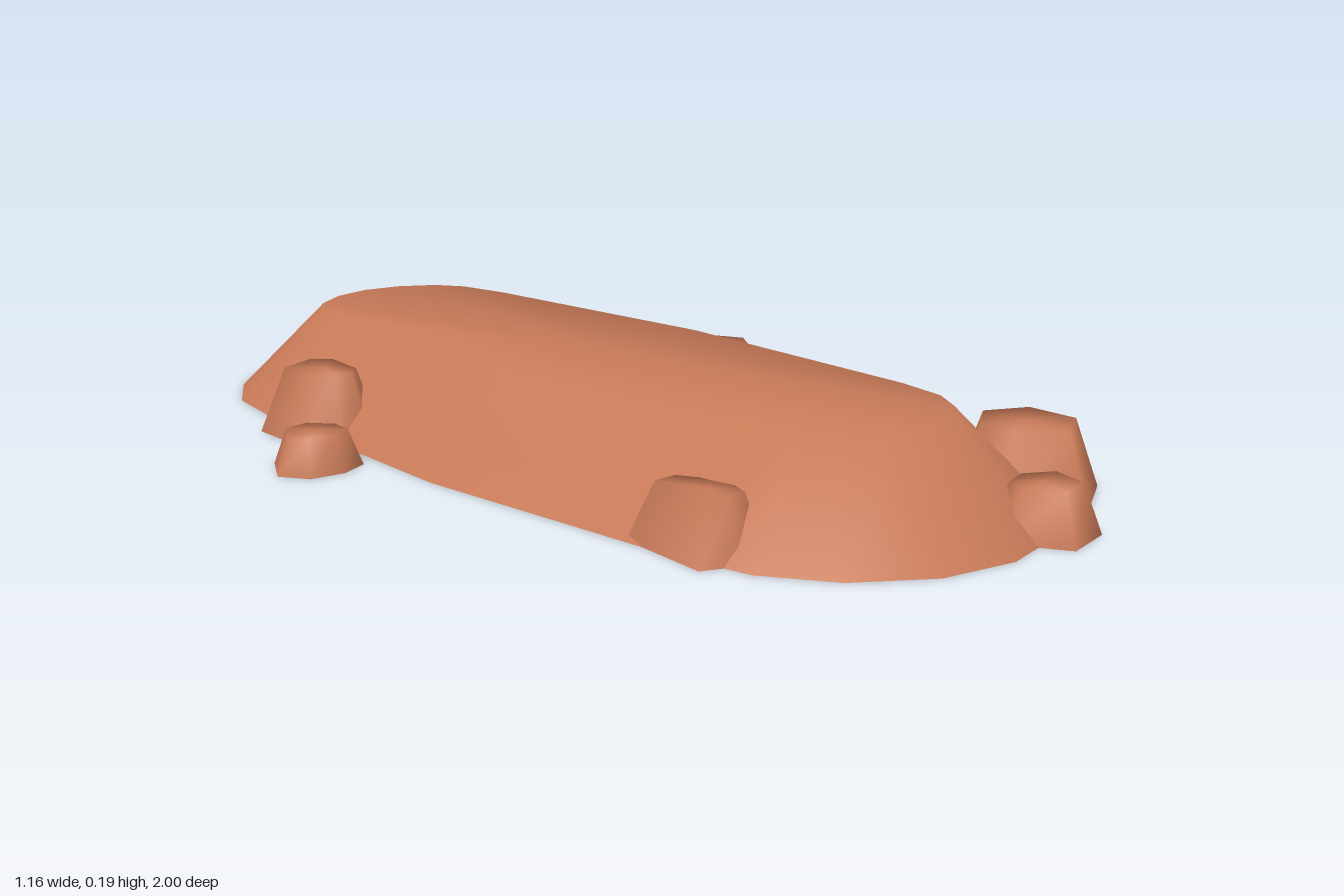
import * as THREE from 'three';

// Moves every corner of a convex outline inwards by d (outline runs clockwise seen from above)
function insetOutline(points, d) {
  const n = points.length;
  const inward = (a, b) => {
    const dx = b[0] - a[0], dz = b[1] - a[1], l = Math.hypot(dx, dz);
    return [-dz / l, dx / l];
  };
  return points.map((p, i) => {
    const u = inward(points[(i + n - 1) % n], p);
    const v = inward(p, points[(i + 1) % n]);
    const k = d / (1 + u[0] * v[0] + u[1] * v[1]);
    return [p[0] + (u[0] + v[0]) * k, p[1] + (u[1] + v[1]) * k];
  });
}

// Flat-topped mound with sloping sides, smooth above and a separate flat underside
function moundGeometry(outline, height, inset) {
  const n = outline.length;
  const top = insetOutline(outline, inset);
  const cx = top.reduce((s, p) => s + p[0], 0) / n;
  const cz = top.reduce((s, p) => s + p[1], 0) / n;
  const positions = [], index = [];
  outline.forEach(([x, z]) => positions.push(x, 0, z));
  top.forEach(([x, z]) => positions.push(x, height, z));
  outline.forEach(([x, z]) => positions.push(x, 0, z));
  positions.push(cx, height, cz);
  for (let i = 0; i < n; i++) {
    const j = (i + 1) % n;
    index.push(j, i, n + i, j, n + i, n + j); // side
    index.push(3 * n, n + j, n + i); // top
    if (i > 0 && i < n - 1) index.push(2 * n, 2 * n + i, 2 * n + j); // underside
  }
  const geometry = new THREE.BufferGeometry();
  geometry.setAttribute('position', new THREE.Float32BufferAttribute(positions, 3));
  geometry.setIndex(index);
  geometry.computeVertexNormals();
  return geometry;
}

export function createModel() {
  const group = new THREE.Group();
  const clay = new THREE.MeshStandardMaterial({ color: 0xc87a58 });
  clay.name = 'terracotta rock';

  const add = (name, outline, height, inset) => {
    const mesh = new THREE.Mesh(moundGeometry(outline, height, inset), clay);
    mesh.name = name;
    group.add(mesh);
  };

  // Long main plateau, mirrored about x = 0.03
  const half = [[0.15, -0.97], [0.28, -0.89], [0.36, -0.77], [0.39, -0.61], [0.43, -0.02],
    [0.39, 0.57], [0.36, 0.72], [0.28, 0.84], [0.15, 0.93]];
  const plateau = [[0, -1], ...half, [0, 0.96], ...half.map(([x, z]) => [-x, z]).reverse()]
    .map(([x, z]) => [x + 0.03, z]);
  add('plateau', plateau, 0.185, 0.18);

  // Boulders scattered around the foot: height and base outline
  const boulders = [
    [0.07, [[-0.585, -0.24], [-0.54, -0.32], [-0.465, -0.33], [-0.415, -0.27], [-0.42, -0.2], [-0.48, -0.175], [-0.55, -0.185]]],
    [0.13, [[-0.435, -0.53], [-0.3, -0.58], [-0.235, -0.51], [-0.25, -0.38], [-0.31, -0.325], [-0.37, -0.34], [-0.44, -0.385]]],
    [0.07, [[0.45, -0.59], [0.53, -0.605], [0.58, -0.54], [0.55, -0.46], [0.47, -0.445], [0.41, -0.53]]],
    [0.07, [[0.365, -0.38], [0.44, -0.43], [0.495, -0.365], [0.465, -0.285], [0.4, -0.285], [0.37, -0.32]]],
    [0.13, [[0.32, -0.18], [0.46, -0.215], [0.53, -0.07], [0.44, 0.055], [0.335, 0.01]]],
    [0.13, [[0.25, 0.66], [0.36, 0.59], [0.49, 0.655], [0.485, 0.81], [0.345, 0.885], [0.24, 0.78]]],
    [0.09, [[0.12, 0.835], [0.2, 0.815], [0.285, 0.865], [0.25, 0.975], [0.145, 0.995], [0.09, 0.9]]],
    [0.105, [[0.27, -0.915], [0.425, -0.82], [0.415, -0.64], [0.3, -0.62], [0.2, -0.68], [0.18, -0.83]]],
    [0.105, [[-0.36, 0.46], [-0.26, 0.46], [-0.2, 0.57], [-0.24, 0.67], [-0.31, 0.68], [-0.38, 0.65]]],
  ];
  boulders.forEach(([height, outline], i) => add(`boulder${i + 1}`, outline, height, height * 0.33));

  return group;
}
